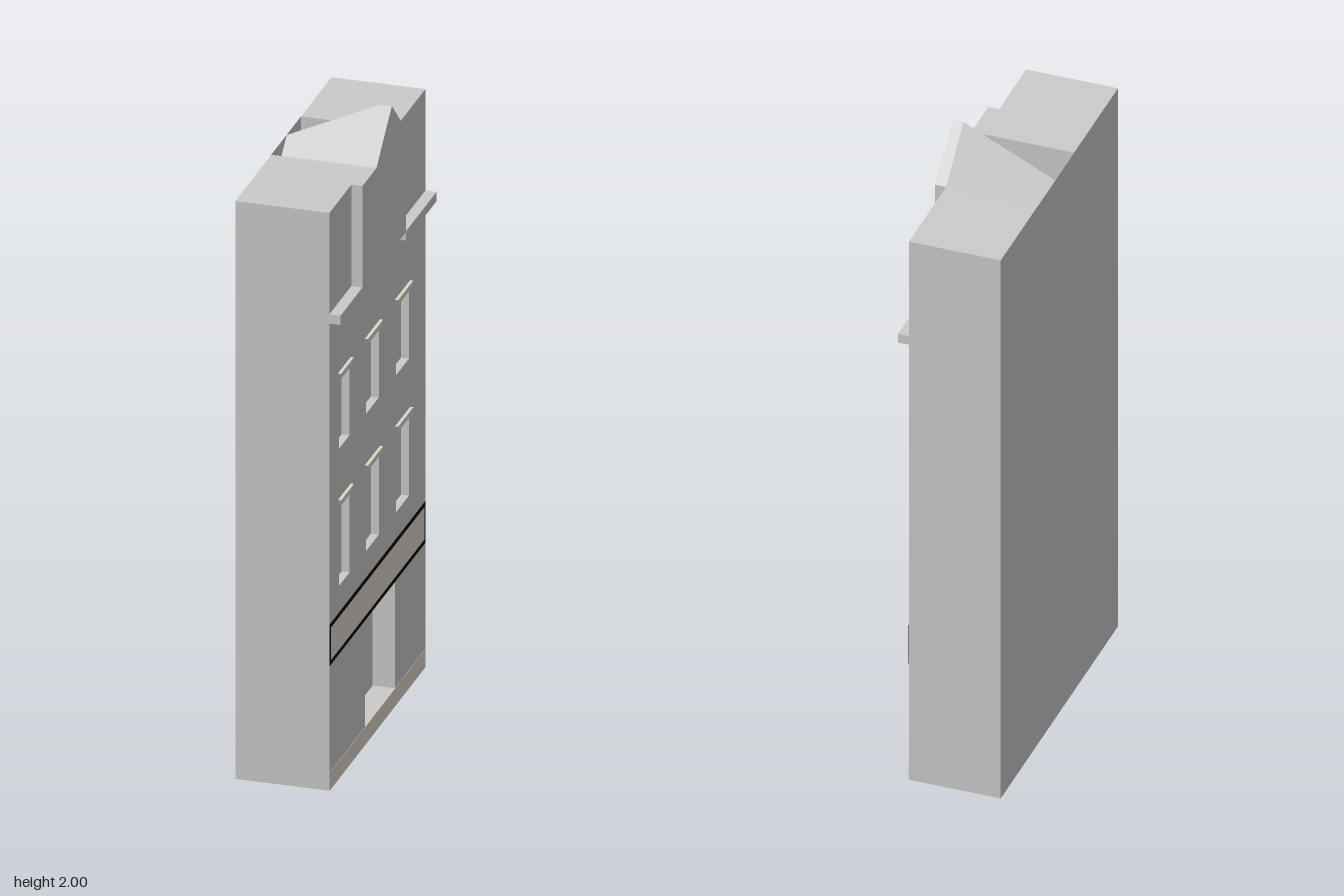
import * as THREE from 'three';

const GREY = 0xcccccc, CREAM = 0xe0d9cc, BLACK = 0x080808;
const BACK = -0.165, FACE = 0.13, BAY = 0.165;   // depths along x
const END = 0.525, BOTTOM = 0.0066, SPLIT = 1.535, ROOF = 1.864, PEAK = 2.0;
const GABLE = { l: 0.132, mid: -0.036, r: -0.192 };

// the building is slightly skewed in plan and along its street slope
const SKEW = new THREE.Matrix4().set(
  1, 0, 0.047, 0,
  0, 1, 0.0125, 0,
  0, 0, 1, 0,
  0, 0, 0, 1);

const rect = (z0, z1, y0, y1) => [[z0, y0], [z1, y0], [z1, y1], [z0, y1]];
const toPath = (pts, Type) => new Type(pts.map(p => new THREE.Vector2(p[0], p[1])));

// outline in (z, y), front at x = front, extruded towards -x
function slab(outline, front, depth, holes = []) {
  const shape = toPath(outline, THREE.Shape);
  holes.forEach(h => shape.holes.push(toPath(h, THREE.Path)));
  return new THREE.ExtrudeGeometry(shape, { depth, bevelEnabled: false })
    .rotateY(-Math.PI / 2).translate(front, 0, 0);
}

export function createModel() {
  const group = new THREE.Group();
  const mats = {};
  const add = (name, geo, color = GREY, side = THREE.FrontSide) => {
    const key = color + '-' + side;
    mats[key] ??= new THREE.MeshStandardMaterial({ color, side, flatShading: true });
    const mesh = new THREE.Mesh(geo.applyMatrix4(SKEW), mats[key]);
    mesh.name = name;
    group.add(mesh);
  };

  // window and door openings
  const columns = [[0.305, 0.42], [-0.015, 0.125], [-0.345, -0.205]];
  const rows = [[0.625, 0.892], [1.066, 1.299]];
  const windows = rows.flatMap(([y0, y1]) => columns.map(([z0, z1]) => rect(z0, z1, y0, y1)));
  const door = rect(GABLE.r, 0.138, 0.064, 0.407);

  // lower storeys: core, door-deep layer, then the window-deep facade
  const wall = rect(-END, END, BOTTOM, SPLIT);
  const doorDepth = 0.07, windowDepth = 0.025;
  add('core', slab(wall, FACE - doorDepth, FACE - doorDepth - BACK));
  add('innerFacade', slab(wall, FACE - windowDepth, doorDepth - windowDepth, [door]));
  add('facade', slab(wall, FACE, windowDepth, [door, ...windows]));

  // flat-roofed blocks on both sides of the gable roof
  add('leftRoofBlock', slab(rect(GABLE.l, END, SPLIT, ROOF), FACE, FACE - BACK));
  add('rightRoofBlock', slab(rect(-END, GABLE.r, SPLIT, ROOF), FACE, FACE - BACK));

  // gable roof sinking towards the back, behind a level back wall
  const gableTop = [[GABLE.l, ROOF], [GABLE.mid, PEAK], [GABLE.r, ROOF]];
  const roof = slab([[GABLE.r, SPLIT], [GABLE.l, SPLIT], ...gableTop], FACE, FACE - BACK);
  const pos = roof.attributes.position;
  for (let i = 0; i < pos.count; i++) {
    if (pos.getX(i) < 0 && pos.getY(i) > SPLIT + 0.01) pos.setY(i, pos.getY(i) - (PEAK - ROOF));
  }
  roof.computeVertexNormals();
  add('gableRoof', roof);
  const backWall = new THREE.PlaneGeometry(GABLE.l - GABLE.r, ROOF - SPLIT)
    .rotateY(-Math.PI / 2)
    .translate(BACK - 0.0005, (ROOF + SPLIT) / 2, (GABLE.l + GABLE.r) / 2);
  add('backParapet', backWall, GREY, THREE.DoubleSide);

  // projecting bay with the gable front
  add('gableBay', slab([[GABLE.r, SPLIT], [0.283, SPLIT], [0.283, ROOF], ...gableTop], BAY, BAY - FACE));

  // ledges on both sides of the bay
  add('leftLedge', slab(rect(0.285, END, 1.508, 1.538), BAY, BAY - FACE));
  add('rightLedge', slab(rect(-END, GABLE.r, 1.508, 1.538), BAY, BAY - FACE));

  // flared lintels above the windows
  for (const [, y] of rows) {
    for (const [z0, z1] of columns) {
      const lintel = [[z0 - 0.003, y - 0.003], [z1 + 0.003, y - 0.003], [z1 + 0.013, y + 0.014], [z0 - 0.013, y + 0.014]];
      add('windowLintel', slab(lintel, FACE + 0.01, 0.01), CREAM);
    }
  }

  // blank fascia board with a dark frame
  const board = rect(-END, END, 0.407, 0.54);
  const panel = rect(-END + 0.013, END - 0.013, 0.421, 0.526);
  add('fasciaFrame', slab(board, FACE + 0.001, 0.001, [panel]), BLACK);
  add('fasciaPanel', slab(panel, FACE + 0.001, 0.001), CREAM);

  // plinth strip at street level
  add('plinth', slab(rect(-END, END, BOTTOM, 0.064), FACE + 0.001, 0.001), CREAM);

  return group;
}
